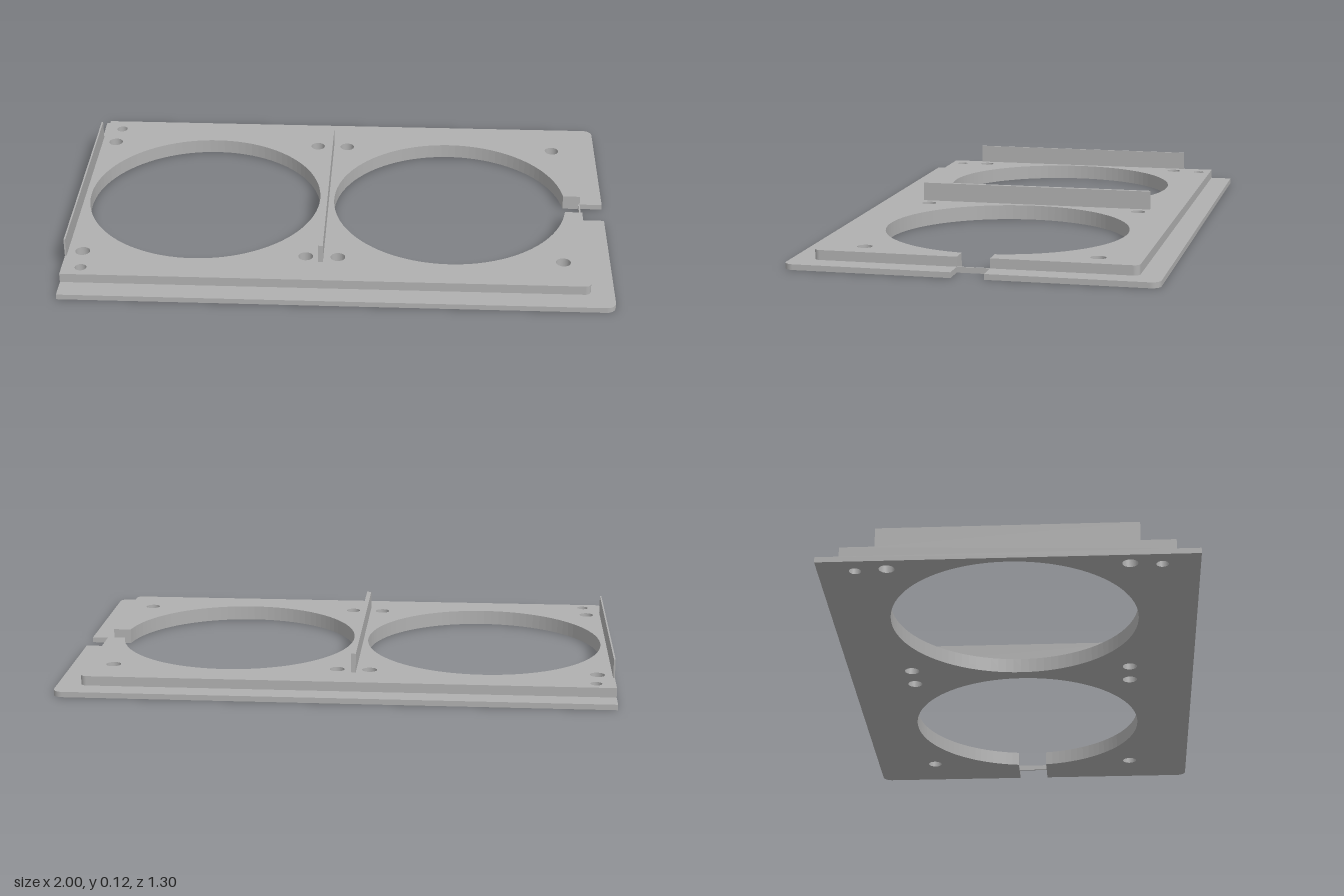
import * as THREE from 'three';

const RING = 0.443;   // radius of the two large openings
const SLOT = 0.058;   // half width of the slot in the right end
const LEFT_X = -0.53, RIGHT_X = 0.41;

// Plate outline: square left end, rounded right end, slot leading into the right opening
function plateShape(endX, halfZ, corner) {
  const s = new THREE.Shape();
  const a = Math.asin(SLOT / RING);
  s.moveTo(-1, -halfZ);
  s.lineTo(endX - corner, -halfZ);
  s.absarc(endX - corner, -halfZ + corner, corner, -Math.PI / 2, 0, false);
  s.lineTo(endX, -SLOT);
  s.absarc(RIGHT_X, 0, RING, -a, a, true);
  s.lineTo(endX, SLOT);
  s.lineTo(endX, halfZ - corner);
  s.absarc(endX - corner, halfZ - corner, corner, 0, Math.PI / 2, false);
  s.lineTo(-1, halfZ);
  s.closePath();

  const hole = (x, z, r) => s.holes.push(new THREE.Path().absarc(x, z, r, 0, Math.PI * 2, true));
  hole(LEFT_X, 0, RING);
  for (const side of [-1, 1]) {
    for (const x of [-0.94, -0.118, 0, 0.823]) hole(x, side * 0.412, 0.027); // screw holes
    hole(-0.93, side * 0.521, 0.021); // end mounting holes
  }
  return s;
}

export function createModel() {
  const model = new THREE.Group();
  model.name = 'twinOpeningPlate';
  const grey = new THREE.MeshStandardMaterial({ color: 0xb0b0b0 });
  grey.name = 'grey';

  const add = (name, geometry) => {
    const mesh = new THREE.Mesh(geometry, grey);
    mesh.name = name;
    model.add(mesh);
  };
  const plate = (name, shape, y0, y1) => {
    const g = new THREE.ExtrudeGeometry(shape, { depth: y1 - y0, bevelEnabled: false, curveSegments: 48 });
    add(name, g.rotateX(-Math.PI / 2).translate(0, y0, 0));
  };
  const box = (name, x0, x1, y0, y1, halfZ) => add(name,
    new THREE.BoxGeometry(x1 - x0, y1 - y0, halfZ * 2).translate((x0 + x1) / 2, (y0 + y1) / 2, 0));

  // Stepped plate
  plate('basePlate', plateShape(1, 0.65, 0.035), 0, 0.02);
  plate('raisedPlate', plateShape(0.915, 0.568, 0.022), 0.02, 0.055);

  // Upright walls
  box('endWall', -1, -0.994, 0.055, 0.125, 0.448);
  box('middleWall', -0.07, -0.053, 0.055, 0.125, 0.448);

  // Thin bridge across the slot
  box('slotBridge', 0.909, 0.915, 0, 0.02, SLOT);

  return model;
}
